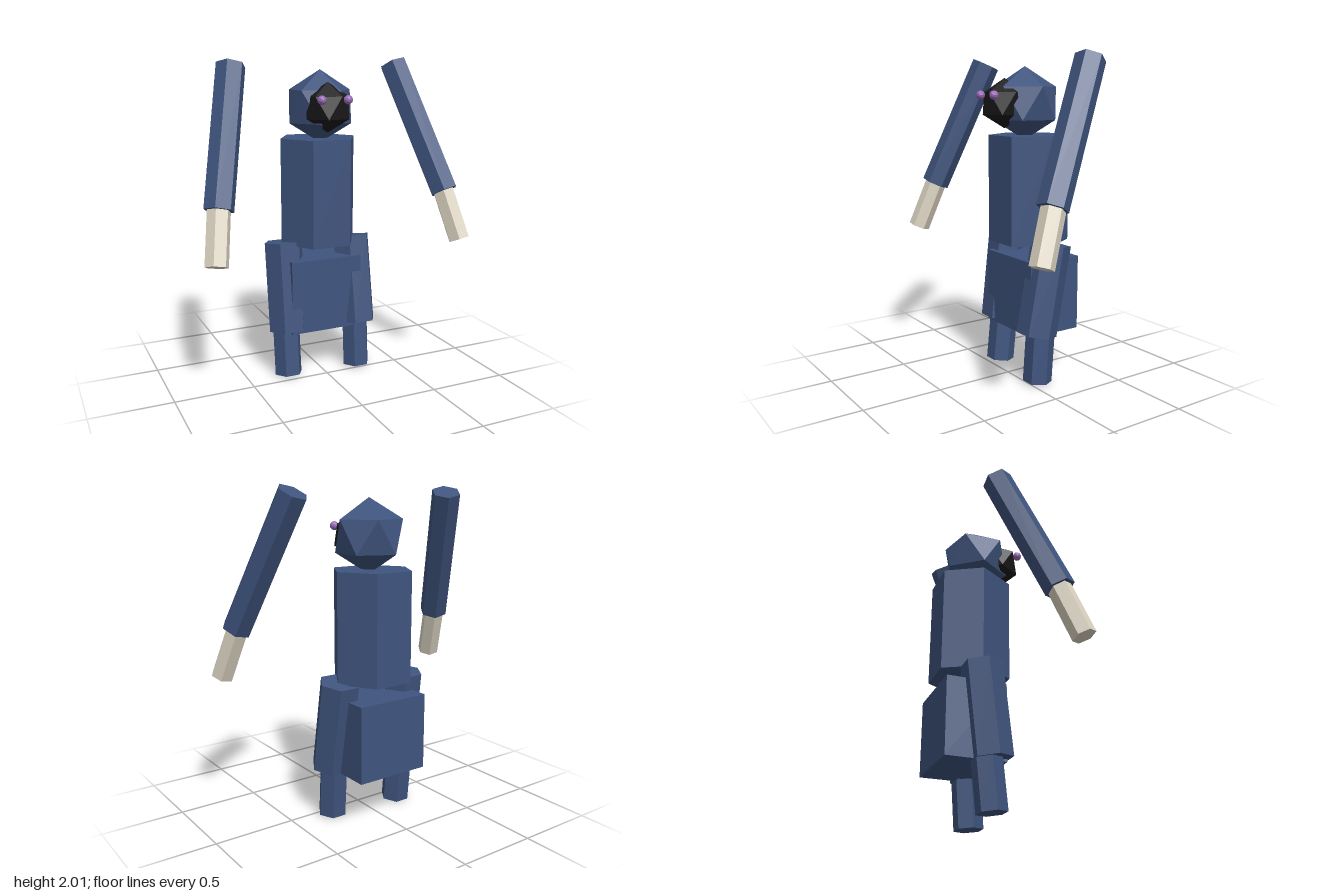
import * as THREE from 'three';

function material(name, color) {
  const m = new THREE.MeshStandardMaterial({ color, flatShading: true });
  m.name = name;
  return m;
}

export function createModel() {
  const model = new THREE.Group();
  model.name = 'hoodedFigure';
  const cloth = material('navyCloth', 0x3f547e);
  const bone = material('paleBone', 0xded6c4);
  const shadow = material('blackFace', 0x1c1a1a);
  const glow = material('purpleEye', 0x9a68b8);

  function add(name, geometry, mat, position) {
    const mesh = new THREE.Mesh(geometry, mat);
    mesh.name = name;
    mesh.position.set(...position);
    model.add(mesh);
    return mesh;
  }

  // Six-sided prism running between two points, corners pointing sideways
  function limb(name, from, to, radius, mat) {
    const a = new THREE.Vector3(...from);
    const b = new THREE.Vector3(...to);
    const axis = a.clone().sub(b);
    const geometry = new THREE.CylinderGeometry(radius, radius, axis.length(), 6, 1, false, Math.PI / 6);
    const mesh = add(name, geometry, mat, a.clone().add(b).multiplyScalar(0.5).toArray());
    mesh.quaternion.setFromUnitVectors(new THREE.Vector3(0, 1, 0), axis.normalize());
  }

  // Twenty-sided solid standing on one corner
  function gem(radius) {
    return new THREE.IcosahedronGeometry(radius, 0)
      .rotateZ(Math.atan(2 / (1 + Math.sqrt(5))))
      .rotateY(0.576);
  }

  // Body
  limb('torso', [0.005, 1.525, -0.152], [0.005, 0.86, -0.154], 0.25, cloth);
  add('pelvis', new THREE.BoxGeometry(0.475, 0.47, 0.365), cloth, [0.002, 0.535, -0.187]);

  // Head, dark face and eyes
  add('hood', gem(0.2225), cloth, [0.0055, 1.7175, -0.12]);
  add('face', gem(0.15), shadow, [-0.006, 1.718, 0.022]);
  add('leftEye', new THREE.IcosahedronGeometry(0.028, 1), glow, [0.069, 1.767, 0.147]);
  add('rightEye', new THREE.IcosahedronGeometry(0.028, 1), glow, [-0.095, 1.767, 0.136]);

  // Floating arms with pale hands
  limb('leftArm', [0.548, 1.972, -0.175], [0.717, 1.188, 0.21], 0.09, cloth);
  limb('leftHand', [0.71, 1.22, 0.19], [0.77, 0.893, 0.317], 0.07, bone);
  limb('rightArm', [-0.537, 1.966, -0.185], [-0.722, 1.165, 0.115], 0.09, cloth);
  limb('rightHand', [-0.715, 1.2, 0.1], [-0.775, 0.866, 0.22], 0.07, bone);

  // Legs
  limb('leftThigh', [0.24, 0.873, -0.153], [0.238, 0.316, -0.05], 0.125, cloth);
  limb('leftShin', [0.238, 0.33, -0.08], [0.238, 0.012, -0.058], 0.09, cloth);
  limb('rightThigh', [-0.232, 0.873, -0.16], [-0.23, 0.308, -0.095], 0.125, cloth);
  limb('rightShin', [-0.232, 0.33, -0.128], [-0.232, 0.009, -0.095], 0.09, cloth);

  return model;
}
